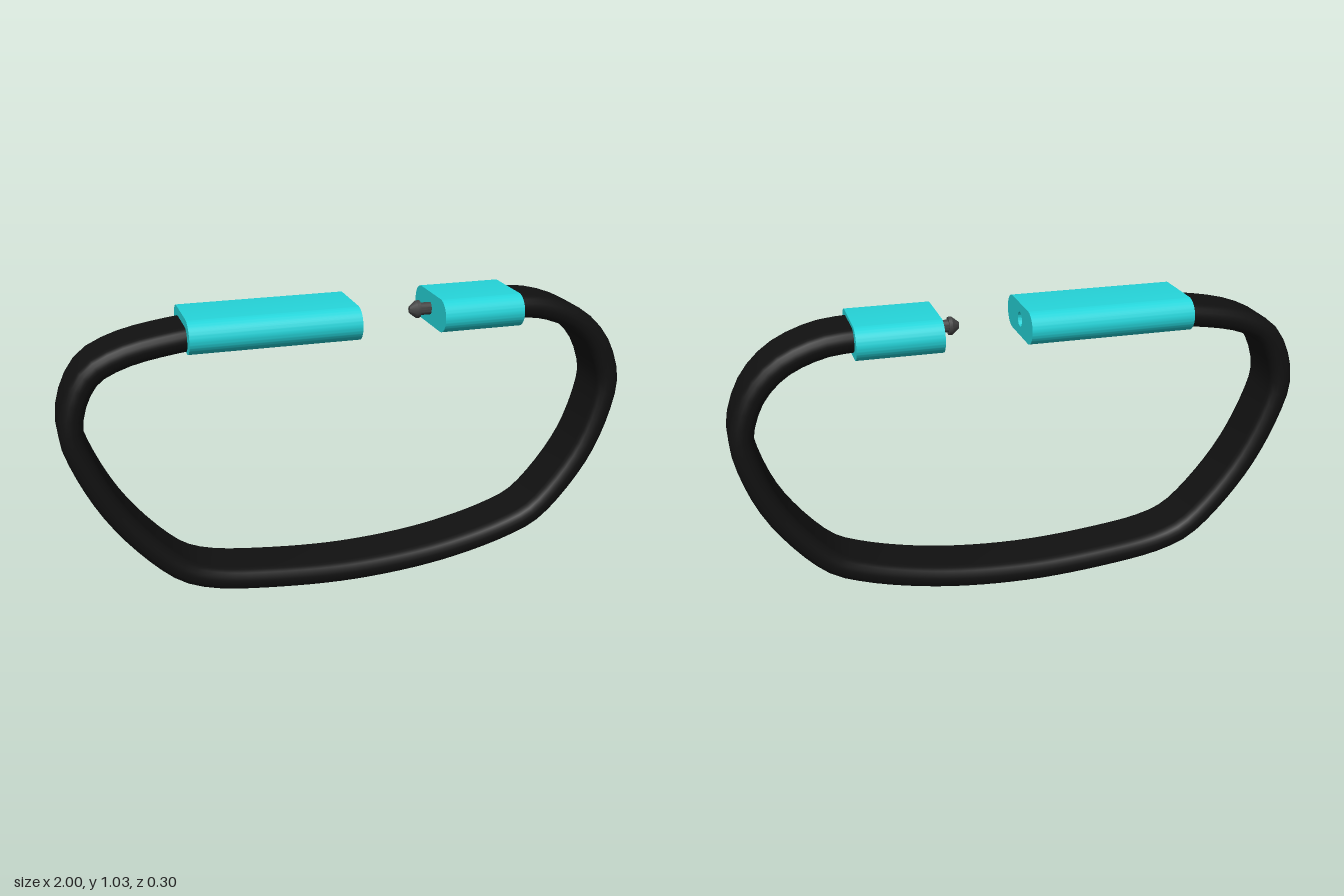
import * as THREE from 'three';
import { toCreasedNormals } from 'three/addons/utils/BufferGeometryUtils.js';

const teal = new THREE.MeshStandardMaterial({ color: 0x25d5da });
const black = new THREE.MeshStandardMaterial({ color: 0x111111 });
const darkGrey = new THREE.MeshStandardMaterial({ color: 0x444444 });
const CLASP_Y = 0.972;

function addMesh(group, name, geometry, material) {
  const mesh = new THREE.Mesh(geometry, material);
  mesh.name = name;
  group.add(mesh);
  return mesh;
}

// Rounded-rectangle outline as [depth, width] pairs, counter-clockwise
function strapSection(depth, halfWidth, radius) {
  const ring = [];
  const corners = [[1, 1], [-1, 1], [-1, -1], [1, -1]];
  corners.forEach(([su, sw], k) => {
    for (let i = 0; i <= 4; i++) {
      const a = (k + i / 4) * Math.PI / 2;
      ring.push([
        depth / 2 + su * (depth / 2 - radius) + radius * Math.cos(a),
        sw * (halfWidth - radius) + radius * Math.sin(a),
      ]);
    }
  });
  return ring;
}

// Sweeps the section along the outer edge of the loop, thickening inwards
function strapGeometry() {
  const outer = [
    [-0.5, 1.005], [-0.57, 1.0], [-0.79, 0.96], [-0.91, 0.9], [-0.975, 0.8],
    [-1, 0.67], [-0.965, 0.54], [-0.87, 0.35], [-0.735, 0.18], [-0.63, 0.09],
    [-0.52, 0.048], [-0.31, 0.018], [0, 0.003], [0.33, 0.03], [0.6, 0.095],
    [0.715, 0.15], [0.865, 0.315], [0.945, 0.46], [0.995, 0.645], [0.987, 0.725],
    [0.935, 0.845], [0.84, 0.94], [0.7, 1.0], [0.58, 1.015], [0.5, 1.015],
  ];
  const path = new THREE.CatmullRomCurve3(outer.map(([x, y]) => new THREE.Vector3(x, y, 0)));
  const ring = strapSection(0.08, 0.107, 0.036);
  const steps = 72, n = ring.length;
  const positions = [], index = [];
  for (let i = 0; i <= steps; i++) {
    const p = path.getPointAt(i / steps);
    const t = path.getTangentAt(i / steps);
    for (const [u, w] of ring) positions.push(p.x - t.y * u, p.y + t.x * u, w);
    if (i === steps) break;
    for (let j = 0; j < n; j++) {
      const a = i * n + j, b = i * n + (j + 1) % n;
      index.push(a, b, a + n, b, b + n, a + n);
    }
  }
  const g = new THREE.BufferGeometry();
  g.setAttribute('position', new THREE.Float32BufferAttribute(positions, 3));
  g.setIndex(index);
  g.computeVertexNormals();
  return g;
}

// Stadium-shaped clasp block running along x, optionally bored for the pin
function claspGeometry(x0, x1, holeRadius) {
  const r = 0.057, half = 0.15 - r;
  const shape = new THREE.Shape();
  shape.absarc(half, 0, r, -Math.PI / 2, Math.PI / 2, false);
  shape.absarc(-half, 0, r, Math.PI / 2, Math.PI * 1.5, false);
  shape.closePath();
  if (holeRadius) {
    const hole = new THREE.Path();
    hole.absarc(0, 0, holeRadius, 0, Math.PI * 2, true);
    shape.holes.push(hole);
  }
  const g = new THREE.ExtrudeGeometry(shape, { depth: x1 - x0, bevelEnabled: false, curveSegments: 16 });
  g.rotateY(Math.PI / 2);
  g.translate(x0, CLASP_Y, 0);
  return toCreasedNormals(g, Math.PI / 5);
}

export function createModel() {
  const group = new THREE.Group();
  group.name = 'wristband';

  addMesh(group, 'strap', strapGeometry(), black);
  addMesh(group, 'socketClasp', claspGeometry(-0.575, 0, 0.025), teal);
  addMesh(group, 'pinClasp', claspGeometry(0.29, 0.578, 0), teal);

  // Dark bottom of the socket
  const socket = new THREE.CylinderGeometry(0.025, 0.025, 0.1, 20).rotateZ(Math.PI / 2);
  addMesh(group, 'socketLining', socket, darkGrey).position.set(-0.07, CLASP_Y, 0);

  // Arrow-headed pin pointing at the socket
  const profile = [[0, -0.02], [0.022, -0.02], [0.022, 0.04], [0.031, 0.04], [0.031, 0.052], [0.012, 0.076], [0, 0.076]]
    .map(([x, y]) => new THREE.Vector2(x, y));
  const pin = toCreasedNormals(new THREE.LatheGeometry(profile, 16), Math.PI / 6).rotateZ(Math.PI / 2);
  const pinMesh = addMesh(group, 'pin', pin, darkGrey);
  pinMesh.position.set(0.29, CLASP_Y, -0.005);
  pinMesh.scale.z = 0.85;

  return group;
}
